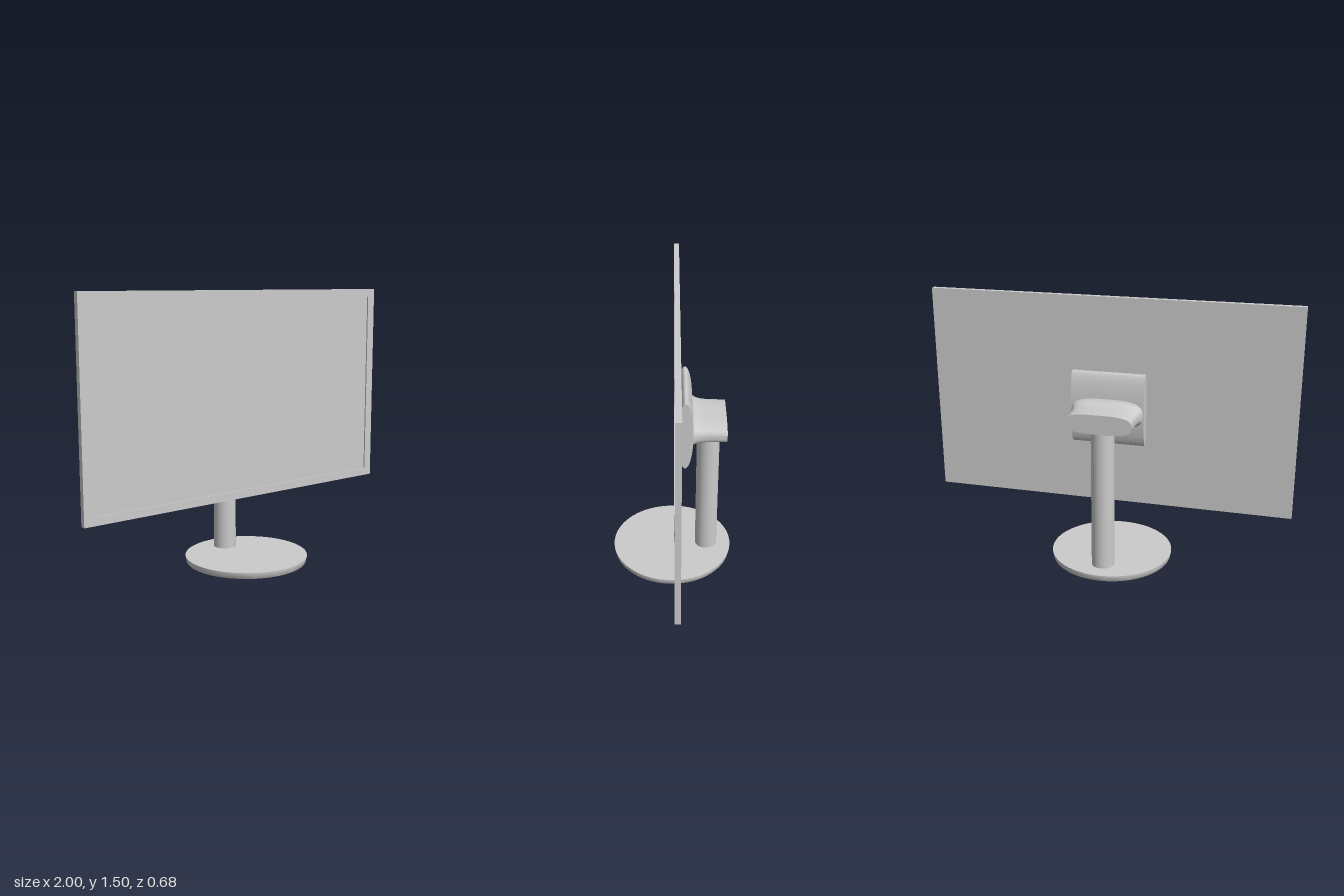
import * as THREE from 'three';
import { toCreasedNormals } from 'three/addons/utils/BufferGeometryUtils.js';

const material = new THREE.MeshStandardMaterial({ color: 0xcccccc });

function add(group, name, geometry, x = 0, y = 0, z = 0) {
  const mesh = new THREE.Mesh(geometry, material);
  mesh.name = name;
  mesh.position.set(x, y, z);
  group.add(mesh);
  return mesh;
}

function rectangle(path, x, y0, y1) {
  path.moveTo(-x, y0);
  path.lineTo(x, y0);
  path.lineTo(x, y1);
  path.lineTo(-x, y1);
  path.closePath();
  return path;
}

// Lofts rounded-rectangle rings [z, halfWidth, yBottom, yTop] from front to back
function loft(sections, n = 64) {
  const positions = [], index = [];
  const round = (v) => Math.sign(v) * Math.pow(Math.abs(v), 0.62);
  for (const [z, w, y0, y1] of sections) {
    for (let i = 0; i < n; i++) {
      const a = (i / n) * Math.PI * 2;
      positions.push(w * round(Math.cos(a)), (y0 + y1) / 2 + ((y1 - y0) / 2) * round(Math.sin(a)), z);
    }
  }
  for (let s = 0; s < sections.length - 1; s++) {
    for (let i = 0; i < n; i++) {
      const a = s * n + i, b = s * n + ((i + 1) % n);
      index.push(a, a + n, b, b, a + n, b + n);
    }
  }
  // Flat rear cap
  const [z, , y0, y1] = sections[sections.length - 1];
  const last = (sections.length - 1) * n, centre = sections.length * n;
  positions.push(0, (y0 + y1) / 2, z);
  for (let i = 0; i < n; i++) index.push(last + i, centre, last + ((i + 1) % n));
  const geometry = new THREE.BufferGeometry();
  geometry.setAttribute('position', new THREE.Float32BufferAttribute(positions, 3));
  geometry.setIndex(index);
  return toCreasedNormals(geometry, 0.7);
}

export function createModel() {
  const model = new THREE.Group();
  model.name = 'monitor';

  // Bezel around a slightly recessed screen
  const outline = rectangle(new THREE.Shape(), 1, 0.355, 1.5);
  outline.holes.push(rectangle(new THREE.Path(), 0.95, 0.4, 1.455));
  add(model, 'bezel', new THREE.ExtrudeGeometry(outline, { depth: 0.03, bevelEnabled: false }), 0, 0, -0.042);
  add(model, 'screenPanel', new THREE.BoxGeometry(1.9, 1.055, 0.022), 0, 0.9275, -0.031);

  // Elliptical mounting pad on the back
  const ellipse = new THREE.Shape();
  ellipse.absellipse(0, 0, 0.042, 0.2, 0, Math.PI * 2);
  const pad = new THREE.ExtrudeGeometry(ellipse, { depth: 0.4, bevelEnabled: false, curveSegments: 32 });
  pad.translate(0, 0, -0.2).rotateY(Math.PI / 2);
  add(model, 'mountPad', toCreasedNormals(pad, 0.6), 0, 0.905, -0.07);

  // Arm flaring into the pad
  add(model, 'mountArm', loft([
    [-0.095, 0.2, 0.79, 0.995],
    [-0.107, 0.198, 0.808, 0.972],
    [-0.114, 0.195, 0.818, 0.958],
    [-0.126, 0.19, 0.825, 0.949],
    [-0.145, 0.184, 0.828, 0.943],
    [-0.18, 0.179, 0.83, 0.939],
    [-0.23, 0.177, 0.83, 0.937],
    [-0.292, 0.177, 0.83, 0.936],
  ]));

  // Round post and base disc
  add(model, 'post', new THREE.CylinderGeometry(0.063, 0.063, 0.825, 48), 0, 0.4375, -0.199);
  const profile = [[0, 0], [0.333, 0], [0.336, 0.004], [0.341, 0.03], [0.341, 0.035], [0, 0.035]]
    .map(([r, y]) => new THREE.Vector2(r, y));
  add(model, 'base', toCreasedNormals(new THREE.LatheGeometry(profile, 72), 0.5));

  return model;
}
